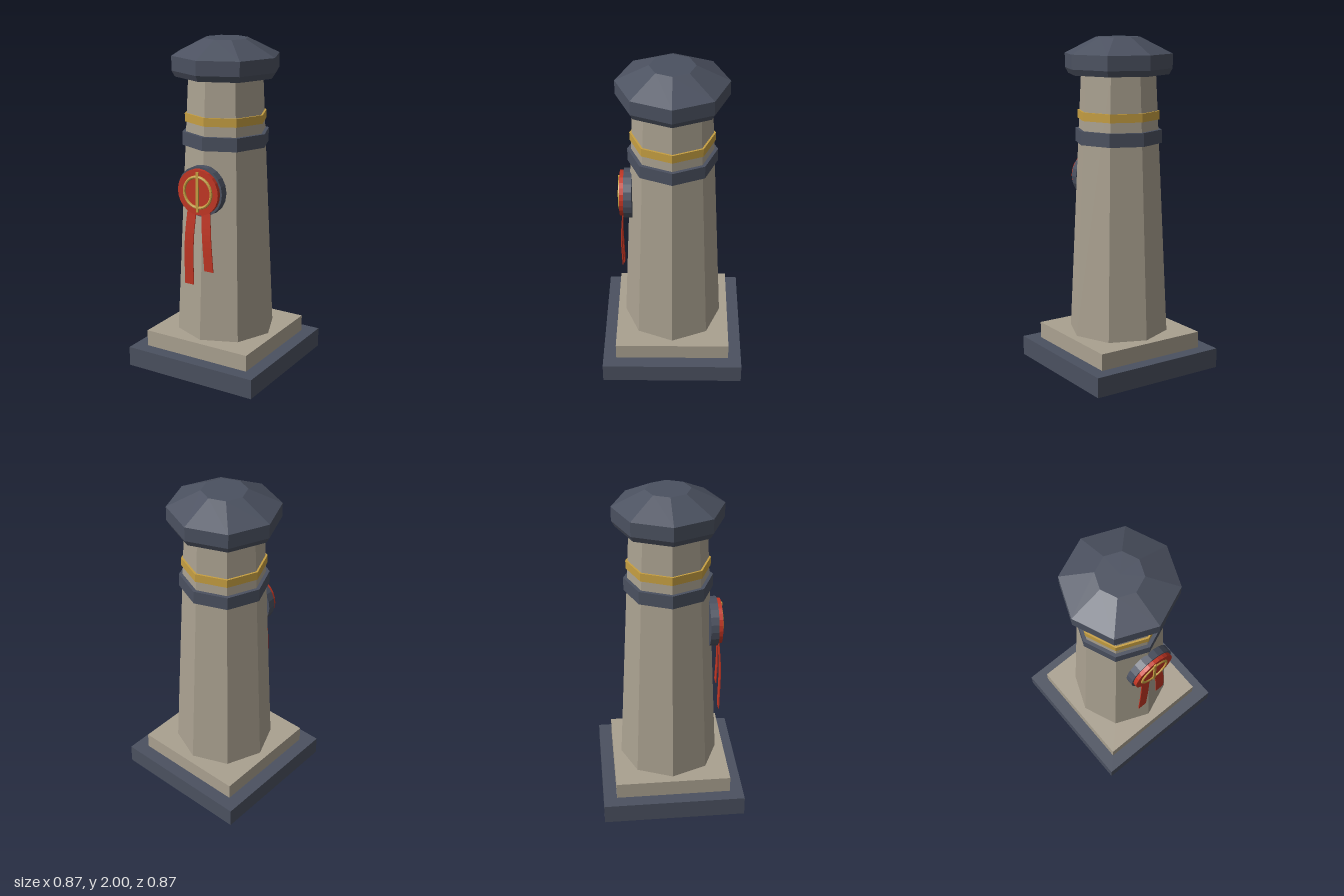
import * as THREE from 'three';

export function createModel() {
  const group = new THREE.Group();
  const mat = (name, color, flatShading = true) => {
    const m = new THREE.MeshStandardMaterial({ color, flatShading });
    m.name = name;
    return m;
  };
  const stone = mat('stone', 0xaaa190);
  const slate = mat('slate', 0x4b5160);
  const gold = mat('gold', 0xc69f42);
  const red = mat('red wax', 0xc23624);

  const add = (name, geometry, material, x = 0, y = 0, z = 0) => {
    const mesh = new THREE.Mesh(geometry, material);
    mesh.name = name;
    mesh.position.set(x, y, z);
    group.add(mesh);
    return mesh;
  };
  // Square slab between two heights
  const slab = (name, half, y0, y1, material) =>
    add(name, new THREE.BoxGeometry(half * 2, y1 - y0, half * 2), material, 0, (y0 + y1) / 2);
  // Eight-sided tapering drum, corners on the axes
  const drum = (name, r0, r1, y0, y1, material) =>
    add(name, new THREE.CylinderGeometry(r1, r0, y1 - y0, 8), material, 0, (y0 + y1) / 2);
  // Disc facing the front
  const disc = (name, r, z0, z1, sides, material) =>
    add(name, new THREE.CylinderGeometry(r, r, z1 - z0, sides).rotateX(Math.PI / 2), material, 0, 1.145, (z0 + z1) / 2);

  // Base and shaft
  slab('baseSlab', 0.433, 0, 0.12, slate);
  slab('plinth', 0.352, 0.12, 0.22, stone);
  drum('shaft', 0.302, 0.225, 0.22, 1.8, stone);

  // Bands
  drum('slateBand', 0.263, 0.263, 1.38, 1.46, slate);
  drum('goldBand', 0.248, 0.248, 1.52, 1.57, gold);

  // Cap with chamfered underside and sloping roof
  const capProfile = [[0, 1.785], [0.303, 1.785], [0.323, 1.82], [0.323, 1.905], [0.131, 2], [0, 2]];
  add('cap', new THREE.LatheGeometry(capProfile.map(([r, y]) => new THREE.Vector2(r, y)), 8), slate);

  // Wax seal on its backing, with a ring and an upright bar
  disc('sealBacking', 0.15, 0.24, 0.289, 20, slate);
  disc('seal', 0.137, 0.285, 0.313, 24, red);
  add('sealRing', new THREE.TorusGeometry(0.092, 0.009, 8, 32), gold, 0, 1.145, 0.313);
  add('sealBar', new THREE.BoxGeometry(0.016, 0.24, 0.016), gold, 0, 1.148, 0.314);

  // Hanging ribbons: thin strips bent along a curve
  const ribbon = (name, points) => {
    const curve = new THREE.CatmullRomCurve3(points.map((p) => new THREE.Vector3(...p)));
    const g = new THREE.BoxGeometry(0.06, 1, 0.006, 1, 10, 1);
    const pos = g.attributes.position;
    for (let i = 0; i < pos.count; i++) {
      const c = curve.getPoint(0.5 - pos.getY(i));
      pos.setXYZ(i, c.x + pos.getX(i), c.y, c.z + pos.getZ(i));
    }
    g.computeVertexNormals();
    add(name, g, red);
  };
  ribbon('rightRibbon', [[-0.048, 1.04, 0.298], [-0.063, 0.85, 0.31], [-0.069, 0.57, 0.305]]);
  ribbon('leftRibbon', [[0.045, 1.04, 0.298], [0.058, 0.86, 0.31], [0.069, 0.67, 0.305]]);

  return group;
}
